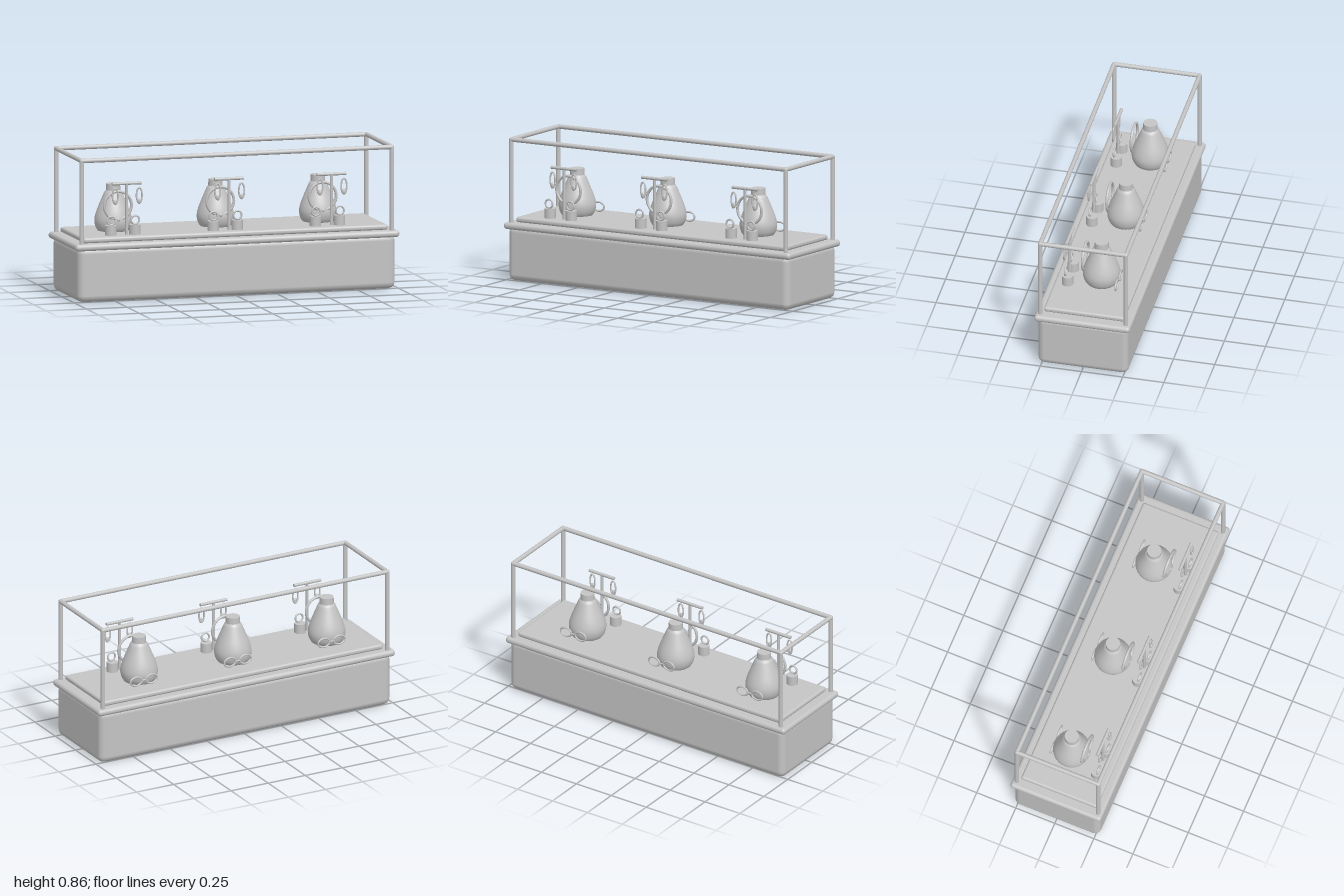
import * as THREE from 'three';
import { RoundedBoxGeometry } from 'three/addons/geometries/RoundedBoxGeometry.js';

const grey = new THREE.MeshStandardMaterial({ color: 0xc4c4c4 });
grey.name = 'plain grey';

function add(parent, name, geometry, x = 0, y = 0, z = 0) {
  const mesh = new THREE.Mesh(geometry, grey);
  mesh.name = name;
  mesh.position.set(x, y, z);
  parent.add(mesh);
  return mesh;
}

// round bar along one axis
function bar(parent, name, axis, length, radius, x, y, z) {
  const g = new THREE.CylinderGeometry(radius, radius, length, 14);
  if (axis === 'x') g.rotateZ(Math.PI / 2);
  if (axis === 'z') g.rotateX(Math.PI / 2);
  return add(parent, name, g, x, y, z);
}

// upright oval ring facing z
class Oval extends THREE.Curve {
  constructor(rx, ry) { super(); this.rx = rx; this.ry = ry; }
  getPoint(t, target = new THREE.Vector3()) {
    const a = t * Math.PI * 2;
    return target.set(Math.cos(a) * this.rx, Math.sin(a) * this.ry, 0);
  }
}
const ring = (rx, ry, tube) => new THREE.TubeGeometry(new Oval(rx, ry), 40, tube, 10, true);

const FLOOR = 0.382;

function jewelrySet(x) {
  const set = new THREE.Group();
  set.name = 'jewelrySet';
  set.position.x = x;

  // necklace bust with its neck
  const profile = new THREE.SplineCurve([
    [0.092, FLOOR], [0.104, 0.402], [0.111, 0.432], [0.109, 0.462], [0.097, 0.503],
    [0.073, 0.562], [0.052, 0.612],
  ].map(p => new THREE.Vector2(...p))).getPoints(24);
  profile.unshift(new THREE.Vector2(0, FLOOR));
  profile.push(new THREE.Vector2(0.043, 0.622));
  add(set, 'bust', new THREE.LatheGeometry(profile, 36), -0.027, 0, -0.026);
  add(set, 'bustNeck', new THREE.CylinderGeometry(0.042, 0.043, 0.042, 30), -0.027, 0.64, -0.026);
  add(set, 'necklace', ring(0.084, 0.084, 0.0085), -0.027, 0.542, 0.072);
  add(set, 'necklacePendant', new THREE.SphereGeometry(0.013, 16, 12), -0.027, 0.458, 0.076);

  // earring stand
  bar(set, 'standPost', 'y', 0.31, 0.009, 0, FLOOR + 0.152, 0.163);
  bar(set, 'standBar', 'x', 0.18, 0.0095, 0, 0.687, 0.163);

  for (const side of [-1, 1]) {
    // earring with its drop
    add(set, 'earringHoop', ring(0.017, 0.046, 0.005), side * 0.074, 0.614, 0.174);
    const drop = add(set, 'earringDrop', new THREE.SphereGeometry(0.012, 14, 10), side * 0.074, 0.58, 0.177);
    drop.scale.set(1, 1.5, 0.6);

    // ring holder with a ring standing in it
    const hx = side * 0.074 - 0.025;
    add(set, 'ringHolder', new THREE.CylinderGeometry(0.034, 0.034, 0.058, 24), hx, FLOOR + 0.029, 0.163);
    add(set, 'ring', ring(0.025, 0.025, 0.0055), hx, 0.469, 0.174);

    // linked bracelets behind the bust
    add(set, 'bracelet', ring(0.038, 0.027, 0.0055), side * 0.052, 0.42, -0.136);
  }
  bar(set, 'braceletLink', 'x', 0.028, 0.005, 0, 0.42, -0.136);
  return set;
}

export function createModel() {
  const model = new THREE.Group();
  model.name = 'jewelryShowcase';

  // plinth, rim and display tray
  add(model, 'plinth', new RoundedBoxGeometry(1.96, 0.33, 0.548, 2, 0.04), 0, 0.165, 0);
  add(model, 'rim', new RoundedBoxGeometry(2, 0.041, 0.58, 3, 0.0195), 0, 0.33, 0);
  add(model, 'tray', new RoundedBoxGeometry(1.88, 0.032, 0.485, 3, 0.0135), 0, 0.366, 0);

  // open frame of the case
  const fx = 0.958, fz = 0.26, top = 0.848, r = 0.0135;
  for (const s of [-1, 1]) {
    bar(model, 'longRail', 'x', fx * 2, r, 0, top, s * fz);
    bar(model, 'shortRail', 'z', fz * 2, r, s * fx, top, 0);
    for (const t of [-1, 1]) {
      bar(model, 'cornerPost', 'y', top - 0.335, r, s * fx, (top + 0.335) / 2, t * fz);
      add(model, 'cornerJoint', new THREE.SphereGeometry(r, 14, 10), s * fx, top, t * fz);
    }
  }

  for (const x of [-0.65, -0.018, 0.614]) model.add(jewelrySet(x));
  return model;
}
